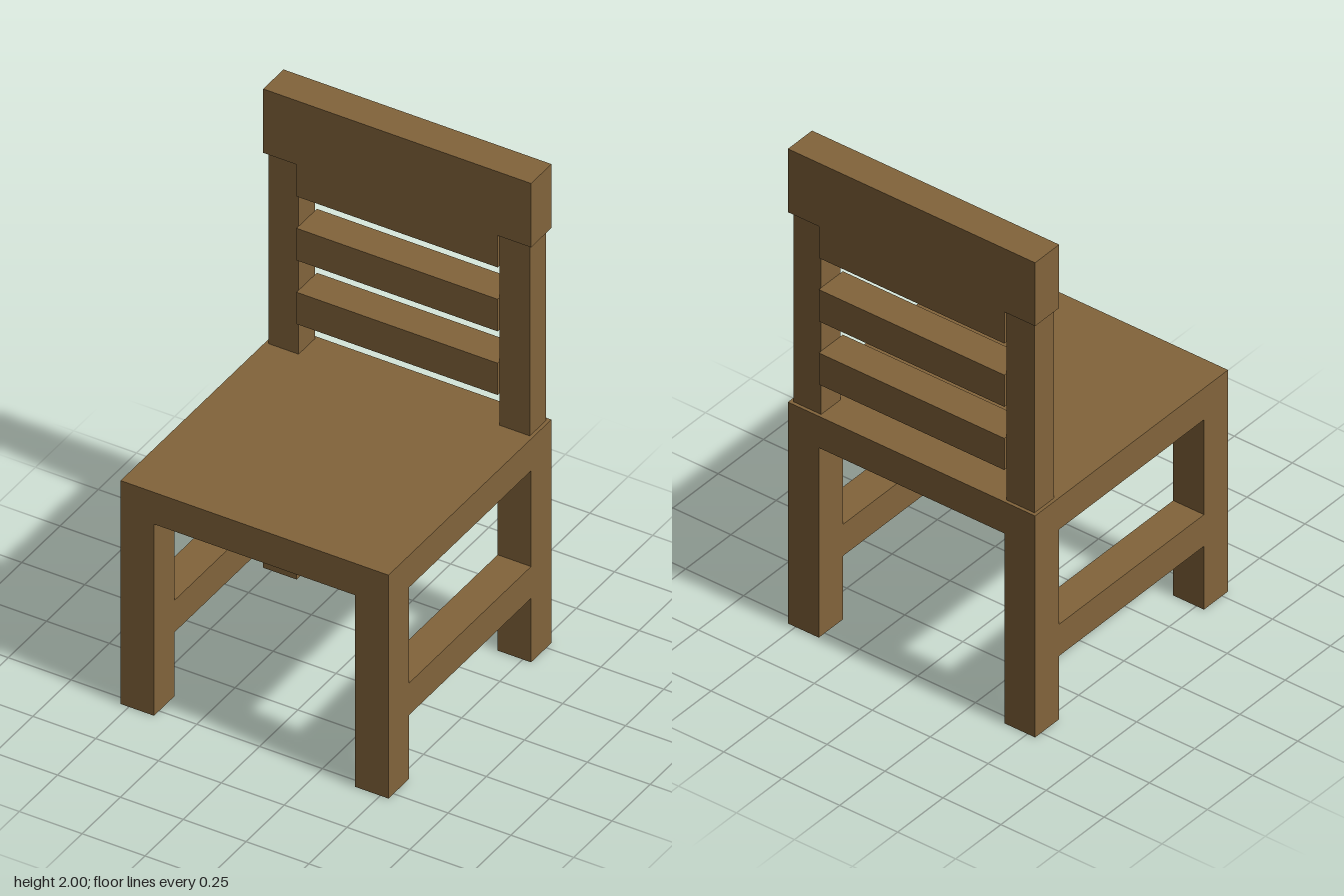
import * as THREE from 'three';

const OUT = 0.533, IN = 0.4; // outer edge and inner edge of the frame

export function createModel() {
  const chair = new THREE.Group();
  chair.name = 'chair';
  const wood = new THREE.MeshStandardMaterial({ color: 0x82643b });
  wood.name = 'brown wood';

  // Box given by its extents along each axis
  function box(name, [x0, x1], [y0, y1], [z0, z1]) {
    const mesh = new THREE.Mesh(new THREE.BoxGeometry(x1 - x0, y1 - y0, z1 - z0), wood);
    mesh.position.set((x0 + x1) / 2, (y0 + y1) / 2, (z0 + z1) / 2);
    mesh.name = name;
    chair.add(mesh);
  }

  const back = [-OUT, -IN];
  box('seat', [-OUT, OUT], [0.8, 0.933], [-OUT, OUT]);

  // Legs, side stretchers and back posts, mirrored left and right
  for (const [side, sign] of [['left', 1], ['right', -1]]) {
    const span = (a, b) => (sign > 0 ? [a, b] : [-b, -a]);
    box(side + 'FrontLeg', span(IN, OUT), [0, 0.8], [IN, OUT]);
    box(side + 'BackLeg', span(IN, OUT), [0, 0.8], back);
    box(side + 'Stretcher', span(IN, OUT), [0.267, 0.4], [-IN, IN]);
    box(side + 'BackPost', span(IN, 0.52), [0.933, 1.733], [-0.52, -0.413]);
  }

  // Backrest slats between the posts
  box('lowerSlat', [-IN, IN], [1.067, 1.2], back);
  box('upperSlat', [-IN, IN], [1.333, 1.467], back);

  // Top rail: one stepped board, narrower where it drops between the posts
  const outline = new THREE.Shape([
    [-IN, 1.6], [IN, 1.6], [IN, 1.733], [OUT, 1.733],
    [OUT, 2], [-OUT, 2], [-OUT, 1.733], [-IN, 1.733],
  ].map(([x, y]) => new THREE.Vector2(x, y)));
  const rail = new THREE.Mesh(
    new THREE.ExtrudeGeometry(outline, { depth: OUT - IN, bevelEnabled: false }), wood);
  rail.position.z = -OUT;
  rail.name = 'topRail';
  chair.add(rail);

  return chair;
}
